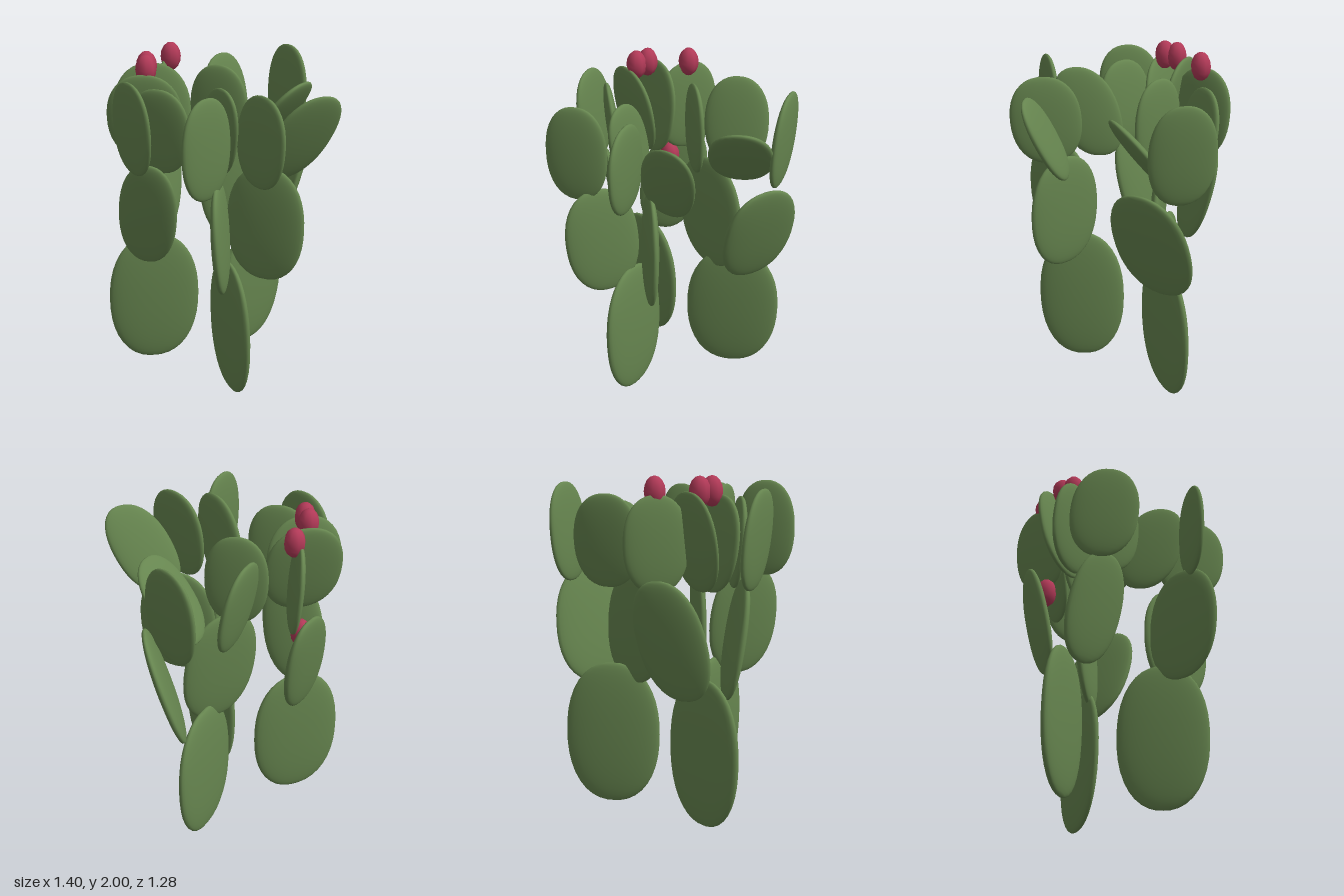
import * as THREE from 'three';
import { mergeVertices } from 'three/addons/utils/BufferGeometryUtils.js';

const padGreen = new THREE.MeshStandardMaterial({ color: 0x66854f });
padGreen.name = 'padGreen';
const fruitRed = new THREE.MeshStandardMaterial({ color: 0xb23a58 });
fruitRed.name = 'fruitRed';

// Oval pad with a slightly squared outline and full, rounded rims, one unit in radius
function padShape() {
  const sphere = new THREE.SphereGeometry(1, 32, 20);
  sphere.deleteAttribute('normal');
  sphere.deleteAttribute('uv');
  const geo = mergeVertices(sphere, 1e-4);
  const p = geo.attributes.position;
  const n = 2.25;
  for (let i = 0; i < p.count; i++) {
    const x = p.getX(i), y = p.getY(i), z = p.getZ(i), r = Math.hypot(x, y);
    const bulge = Math.abs(z) < 1e-6 ? 0 : Math.sign(z) * Math.pow(Math.abs(z), 0.8);
    const full = r < 1e-6 ? 1 : Math.pow(Math.pow(Math.abs(x / r), n) + Math.pow(Math.abs(y / r), n), -1 / n);
    p.setXYZ(i, x * full, y * full, bulge);
  }
  return geo;
}

// across = half-width vector (x, z); up = half-height vector (x, y, z)
function pad(name, center, across, up, thickness) {
  const w = new THREE.Vector3(across[0], 0, across[1]);
  const u = new THREE.Vector3(...up);
  const n = new THREE.Vector3().crossVectors(w, u).setLength(thickness);
  const m = new THREE.Matrix4().makeBasis(w, u, n).setPosition(...center);
  const geo = padShape().applyMatrix4(m);
  geo.computeVertexNormals();
  const mesh = new THREE.Mesh(geo, padGreen);
  mesh.name = name;
  return mesh;
}

// Each row: centre, half-width vector, half-height vector
const basePads = [
  [[0.345, 0.435, -0.11], [0.285, 0], [0, 0.43, 0.01]],
  [[-0.24, 0.435, 0.175], [-0.12, 0.235], [-0.01, 0.43, 0]],
  [[-0.245, 0.44, -0.43], [0.212, 0.18], [0, 0.43, 0.01]],
];
const middlePads = [
  [[-0.4, 1.085, 0.24], [-0.19, 0.12], [-0.03, 0.335, 0]],
  [[-0.11, 1.1, 0.33], [0.06, 0.23], [0.01, 0.345, 0]],
  [[0.195, 1.1, -0.13], [0.19, 0.128], [-0.02, 0.35, -0.03]],
  [[0.495, 1.08, 0.06], [0.195, -0.14], [0.04, 0.34, 0.1]],
  [[-0.08, 1.1, -0.54], [0.2, 0.025], [0.07, 0.345, -0.05]],
  [[-0.405, 1.08, -0.31], [0.06, 0.175], [-0.045, 0.335, 0.06]],
];
const topPads = [
  // front stem
  [[-0.525, 1.645, 0.25], [0.175, 0.015], [0, 0.285, 0]],
  [[-0.23, 1.635, 0.385], [-0.055, 0.2], [0, 0.265, 0.02]],
  [[-0.25, 1.64, 0.11], [0.065, -0.175], [-0.04, 0.27, 0.06]],
  [[0.01, 1.615, 0.48], [0.155, 0.1], [0.02, 0.26, 0.13]],
  // side stem
  [[0.09, 1.63, -0.175], [0.06, 0.17], [0, 0.27, 0]],
  [[0.375, 1.58, 0.07], [0.185, 0], [0, 0.22, 0.165]],
  [[0.325, 1.62, -0.31], [0.19, 0], [0, 0.27, -0.05]],
  [[0.61, 1.64, -0.06], [0.055, -0.18], [0.02, 0.29, 0]],
  // back stem
  [[-0.52, 1.64, -0.3], [-0.055, 0.19], [-0.03, 0.28, 0.02]],
  [[-0.4, 1.615, -0.205], [0.05, 0.185], [-0.02, 0.255, 0.02]],
  [[-0.3, 1.63, -0.405], [0.14, 0.17], [-0.03, 0.265, 0.02]],
  [[-0.19, 1.64, -0.45], [0.145, 0.175], [0.03, 0.275, -0.03]],
  [[0.01, 1.63, -0.5], [0.165, -0.1], [0, 0.27, -0.02]],
];
const fruits = [
  [-0.28, 1.915, -0.405],
  [-0.22, 1.915, -0.455],
  [0.02, 1.915, -0.485],
  [-0.095, 1.285, -0.495],
];

export function createModel() {
  const model = new THREE.Group();
  model.name = 'cactus';

  // Three tiers of pads, thinner towards the top
  const tiers = [['basePad', basePads, 0.046], ['middlePad', middlePads, 0.04], ['topPad', topPads, 0.035]];
  for (const [name, rows, thickness] of tiers) {
    const tier = new THREE.Group();
    tier.name = name + 's';
    rows.forEach(([c, w, u], i) => tier.add(pad(name + (i + 1), c, w, u, thickness)));
    model.add(tier);
  }

  // Egg-shaped fruits on the pad rims
  const fruitGeo = new THREE.SphereGeometry(1, 8, 8).scale(0.06, 0.085, 0.06);
  fruits.forEach((position, i) => {
    const fruit = new THREE.Mesh(fruitGeo, fruitRed);
    fruit.name = 'fruit' + (i + 1);
    fruit.position.set(...position);
    model.add(fruit);
  });
  return model;
}
